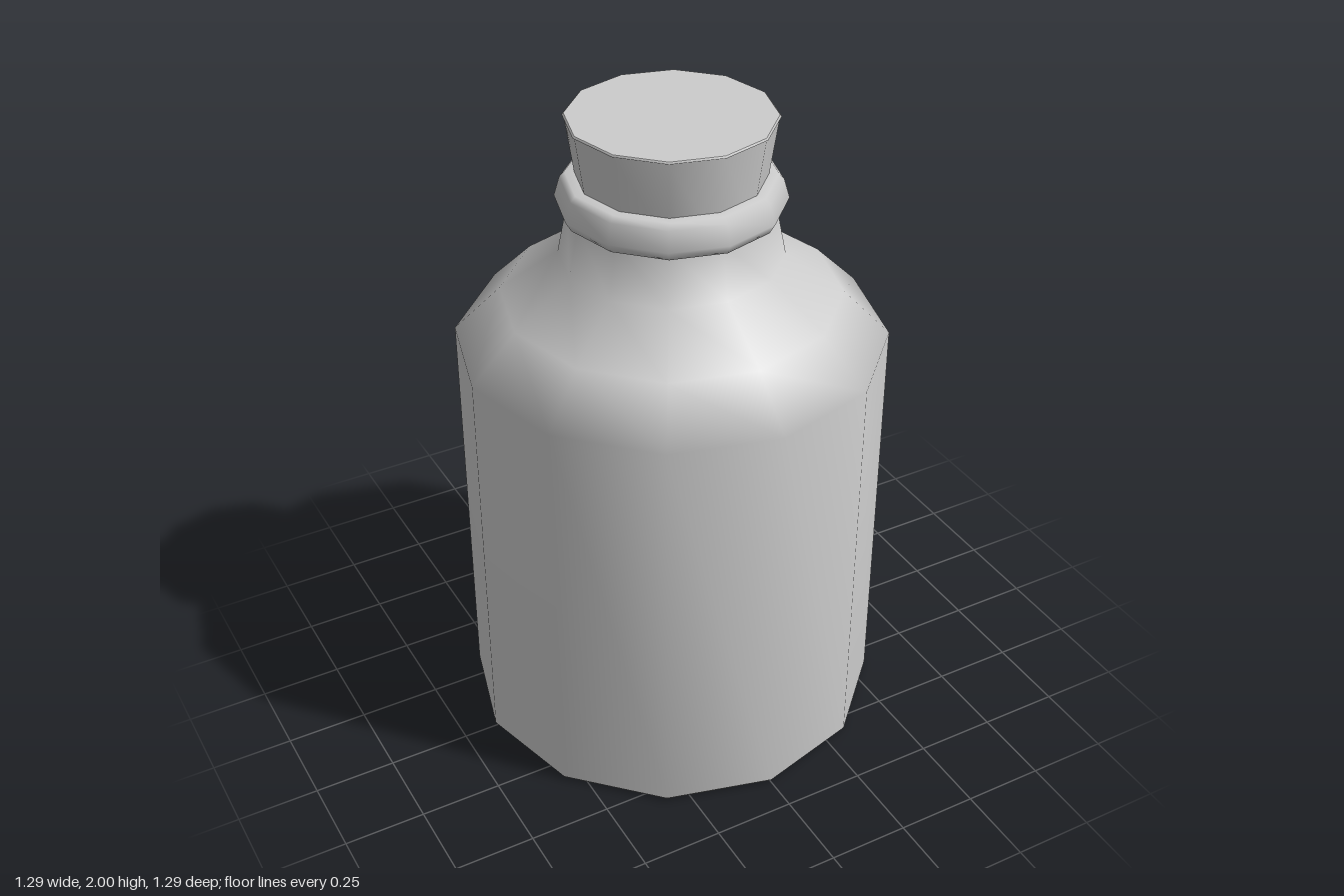
import * as THREE from 'three';
import { mergeVertices } from 'three/addons/utils/BufferGeometryUtils.js';

const SIDES = 12;
const material = new THREE.MeshStandardMaterial({ color: 0xcccccc });

function part(name, geometry) {
  const mesh = new THREE.Mesh(geometry, material);
  mesh.name = name;
  return mesh;
}

// Revolved profile, welded so its normals are smooth and weighted by face area
function turned(name, profile) {
  const lathe = new THREE.LatheGeometry(profile.map(([r, y]) => new THREE.Vector2(r, y)), SIDES);
  lathe.deleteAttribute('normal');
  lathe.deleteAttribute('uv');
  const geometry = mergeVertices(lathe, 1e-4);
  geometry.computeVertexNormals();
  return part(name, geometry);
}

// Flat twelve-sided disc facing up (1) or down (-1)
function disc(name, radius, y, facing) {
  const geometry = new THREE.CircleGeometry(radius, SIDES);
  geometry.rotateX(-facing * Math.PI / 2);
  geometry.translate(0, y, 0);
  return part(name, geometry);
}

export function createModel() {
  const model = new THREE.Group();
  model.name = 'corkedBottle';

  // Bottle: straight wall, rounded shoulder, tapering neck
  model.add(turned('bottleBody', [
    [0.635, 0], [0.645, 0.012], [0.645, 1.3], [0.505, 1.44], [0.33, 1.565], [0.297, 1.73],
  ]));
  model.add(disc('bottleBase', 0.635, 0, -1));

  // Rolled lip around the mouth
  model.add(turned('lipRing', [
    [0.27, 1.715], [0.318, 1.715], [0.335, 1.745], [0.318, 1.803], [0.303, 1.82], [0.255, 1.82],
  ]));

  // Cork, widening to its flat top
  model.add(turned('corkSide', [[0.262, 1.73], [0.3, 1.992], [0.305, 1.995], [0.3, 2]]));
  model.add(disc('corkTop', 0.3, 2, 1));
  model.add(disc('corkBottom', 0.262, 1.73, -1));

  return model;
}
